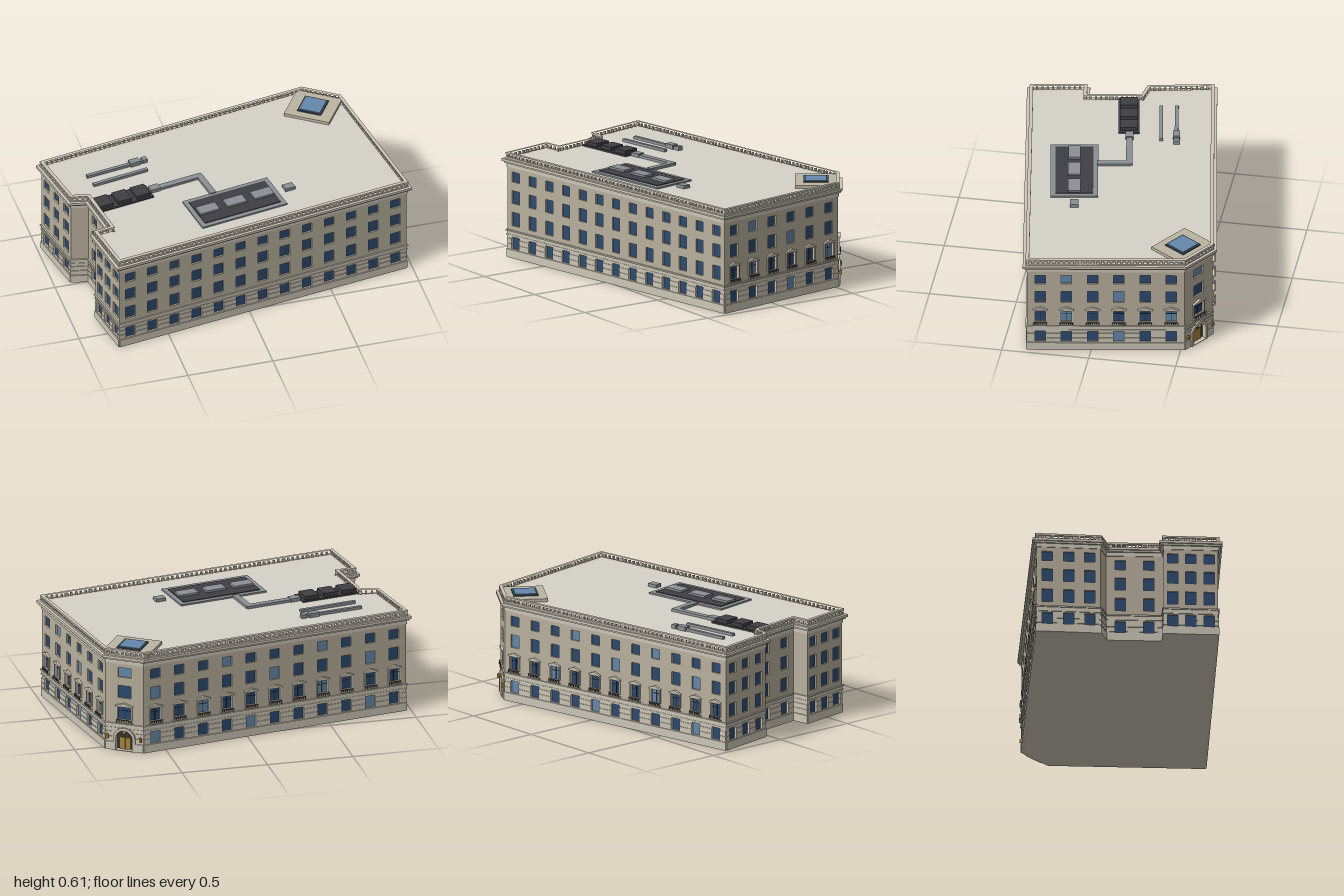
import * as THREE from 'three';
import { mergeGeometries } from 'three/addons/utils/BufferGeometryUtils.js';

const COLORS = {
  groundWall: 0xcbc4b4, upperWall: 0xb9b09d, trim: 0xcdc7b9, windowSurround: 0xc6bfaf, balcony: 0x55534e,
  darkGlass: 0x2c4a70, lightGlass: 0x6488ab, mullion: 0x1d2b3d, roof: 0xd6d2ca, roofDark: 0x3f3e44,
  roofVent: 0x8b9196, skylightBase: 0xbcb5a3, skylightFrame: 0x3d4a55, skylightGlass: 0x6488ab,
  doorRecess: 0x3a3630, brass: 0xa8843a,
};

// Cornice outline in plan [x, z], with windows per wall to the next corner.
const WALLS = [
  { p: [-1.0, -0.4], n: 11, ornate: true },
  { p: [0.64, -0.675], n: 1, ornate: true, door: true },
  { p: [0.845, -0.535], n: 6, ornate: true },
  { p: [0.995, 0.38], n: 13 },
  { p: [-0.82, 0.663], n: 3 },
  { p: [-0.882, 0.31], n: 0 },
  { p: [-0.78, 0.294], n: 2 },
  { p: [-0.823, 0.016], n: 0 },
  { p: [-0.92, -0.003], n: 3 },
];
const WALL_INSET = 0.024;
const TILT = 0.165;
const FLOORS = [[0.188, 0.267], [0.318, 0.393], [0.444, 0.502]];

function normal(a, b) {
  const dx = b[0] - a[0], dz = b[1] - a[1], l = Math.hypot(dx, dz);
  return [dz / l, -dx / l];
}

// Mitred inset of the plan
function inset(d) {
  const pts = WALLS.map(w => w.p), c = pts.length;
  return pts.map((p, i) => {
    const a = normal(pts[(i + c - 1) % c], p), b = normal(p, pts[(i + 1) % c]);
    const k = -d / (1 + a[0] * b[0] + a[1] * b[1]);
    return [p[0] + (a[0] + b[0]) * k, p[1] + (a[1] + b[1]) * k];
  });
}

const toVectors = pts => pts.map(([x, z]) => new THREE.Vector2(x, -z));
const extrude = (shape, depth) =>
  new THREE.ExtrudeGeometry(shape, { depth, bevelEnabled: false, curveSegments: 10 });

// Horizontal layer of the plan, optionally hollow
function layer(y0, y1, outer, inner) {
  const shape = new THREE.Shape(toVectors(inset(outer)));
  if (inner !== undefined) shape.holes.push(new THREE.Path(toVectors(inset(inner))));
  return extrude(shape, y1 - y0).rotateX(-Math.PI / 2).translate(0, y0, 0);
}

function box(w, h, d, x, y, z) {
  return new THREE.BoxGeometry(w, h, d).translate(x, y, z);
}

function rect(Type, x0, x1, y0, y1) {
  return new Type([[x0, y0], [x1, y0], [x1, y1], [x0, y1]].map(p => new THREE.Vector2(...p)));
}

function arch(Type, x, halfWidth, y0, spring) {
  const s = new Type();
  s.moveTo(x - halfWidth, y0);
  s.lineTo(x + halfWidth, y0);
  s.lineTo(x + halfWidth, spring);
  s.absarc(x, spring, halfWidth, 0, Math.PI, false);
  s.lineTo(x - halfWidth, y0);
  return s;
}

export function createModel() {
  const parts = {};
  const add = (name, geo, matrix) => {
    const g = geo.index ? geo.toNonIndexed() : geo;
    if (matrix) g.applyMatrix4(matrix);
    (parts[name] ??= []).push(g);
  };

  // Facades: each is drawn facing +z, then turned onto its wall
  const corners = inset(WALL_INSET);
  WALLS.forEach((wall, wi) => {
    const a = corners[wi], b = corners[(wi + 1) % corners.length];
    const nrm = normal(a, b), L = Math.hypot(b[0] - a[0], b[1] - a[1]);
    const M = new THREE.Matrix4().makeRotationY(Math.atan2(nrm[0], nrm[1])).setPosition(b[0], 0, b[1]);
    const put = (name, geo) => add(name, geo, M);
    const w = wall.door ? 0.078 : 0.06, T = 0.02;
    const ground = rect(THREE.Shape, 0, L, 0, 0.14);
    const upper = rect(THREE.Shape, 0, L, 0.15, 0.54);
    const piers = [0];

    for (let i = 0; i < wall.n; i++) {
      const x = L * (i + 0.5) / wall.n;
      const glass = f => wall.ornate && (i * 7 + f * 5 + wi * 3) % 9 < 2 ? 'lightGlass' : 'darkGlass';
      const pane = (y0, y1, f) => put(glass(f), box(w + 0.004, y1 - y0 + 0.004, 0.004, x, (y0 + y1) / 2, -0.012));

      FLOORS.forEach(([y0, y1], f) => {
        upper.holes.push(rect(THREE.Path, x - w / 2, x + w / 2, y0, y1));
        pane(y0, y1, f + 1);
      });

      // Main-floor window dressing: mullions, jambs, pediment, balcony
      if (wall.ornate) {
        const [y0, y1] = FLOORS[0], h = y1 - y0;
        put('mullion', box(0.003, h, 0.004, x, y0 + h / 2, -0.009));
        put('mullion', box(w, 0.003, 0.004, x, y0 + h * 0.65, -0.009));
        for (const s of [-1, 1]) put('windowSurround', box(0.008, h, 0.008, x + s * (w / 2 + 0.004), y0 + h / 2, 0.003));
        put('windowSurround', box(w + 0.022, 0.007, 0.014, x, y1 + 0.0035, 0.006));
        const gable = new THREE.Shape([[-w / 2 - 0.013, 0], [w / 2 + 0.013, 0], [0, 0.016]].map(p => new THREE.Vector2(...p)));
        put('windowSurround', extrude(gable, 0.014).translate(x, y1 + 0.007, 0));
        put('windowSurround', box(w + 0.02, 0.006, 0.018, x, 0.172, 0.008));
        put('balcony', box(w + 0.016, 0.004, 0.005, x, 0.189, 0.014));
        for (let k = 0; k < 7; k++) put('balcony', box(0.004, 0.014, 0.004, x + (k - 3) * (w + 0.01) / 6, 0.181, 0.014));
      }

      if (wall.door) {
        // Arched entrance with brass doors, lantern and side lamps
        ground.holes.push(arch(THREE.Path, x, 0.05, 0.004, 0.072));
        const frame = arch(THREE.Shape, x, 0.066, 0, 0.074);
        frame.holes.push(arch(THREE.Path, x, 0.05, 0.004, 0.072));
        put('windowSurround', extrude(frame, 0.012));
        put('doorRecess', box(0.104, 0.124, 0.004, x, 0.064, -0.02));
        for (const s of [-1, 1]) {
          put('brass', box(0.03, 0.072, 0.006, x + s * 0.016, 0.038, -0.015));
          put('brass', box(0.014, 0.022, 0.014, x + s * 0.1, 0.08, 0.014));
          put('brass', box(0.005, 0.005, 0.016, x + s * 0.1, 0.08, 0.006));
          put('brass', new THREE.ConeGeometry(0.009, 0.01, 6).translate(x + s * 0.1, 0.096, 0.014));
        }
        put('brass', new THREE.SphereGeometry(0.011, 10, 8).translate(x, 0.112, 0.008));
        piers.push(x - 0.066, x + 0.066);
      } else {
        ground.holes.push(rect(THREE.Path, x - w / 2, x + w / 2, 0.052, 0.122));
        pane(0.052, 0.122, 0);
        piers.push(x - w / 2, x + w / 2);
      }
    }
    piers.push(L);
    put('groundWall', extrude(ground, T).translate(0, 0, -T));
    put('upperWall', extrude(upper, T).translate(0, 0, -T));

    // Stone courses on the piers between openings
    for (let k = 0; k < piers.length; k += 2) {
      const pw = piers[k + 1] - piers[k], px = (piers[k] + piers[k + 1]) / 2;
      for (const y of [0.068, 0.098]) put('groundWall', box(pw, 0.025, 0.006, px, y, 0.001));
      if (wall.door) put('trim', box(pw, 0.048, 0.01, px, 0.024, 0.001));
    }
    if (!wall.door) put('trim', box(L, 0.048, 0.01, L / 2, 0.024, 0.001));

    // Parapet balusters
    const pts = inset(0.026), p = pts[wi], q = pts[(wi + 1) % pts.length];
    const count = Math.max(2, Math.round(Math.hypot(q[0] - p[0], q[1] - p[1]) / 0.03));
    for (let k = 0; k < count; k++) {
      const t = k / count, wide = k % 5 === 0 ? 0.02 : 0.011;
      const m = new THREE.Matrix4().makeRotationY(Math.atan2(nrm[0], nrm[1]))
        .setPosition(p[0] + (q[0] - p[0]) * t, 0.591, p[1] + (q[1] - p[1]) * t);
      add('trim', new THREE.BoxGeometry(wide, 0.018, 0.011), m);
    }
  });

  // Floor slab, belt course, frieze, cornice and parapet rails
  add('trim', layer(0, 0.004, WALL_INSET));
  add('trim', layer(0.128, 0.136, 0.019));
  add('groundWall', layer(0.136, 0.154, 0.022));
  add('trim', layer(0.154, 0.162, 0.016));
  add('trim', layer(0.527, 0.55, 0.02));
  add('trim', layer(0.55, 0.56, 0.009));
  add('trim', layer(0.56, 0.575, 0));
  add('trim', layer(0.575, 0.584, 0.016, 0.036));
  add('trim', layer(0.599, 0.61, 0.016, 0.036));
  add('roof', layer(0.575, 0.577, 0.036));

  // Rooftop boxes: plan centre, size, height range and turn
  const R = 0.577;
  const roofBox = (name, x, z, w, d, top, turn = TILT, bottom = R) => add(name,
    new THREE.BoxGeometry(w, top - bottom, d),
    new THREE.Matrix4().makeRotationY(turn).setPosition(x, (top + bottom) / 2, z));
  const duct = (x0, z0, x1, z1, width, top) => roofBox('roofVent', (x0 + x1) / 2, (z0 + z1) / 2,
    Math.hypot(x1 - x0, z1 - z0), width, top, Math.atan2(z0 - z1, x1 - x0));
  const along = (x, z, t) => [x + Math.cos(TILT) * t, z - Math.sin(TILT) * t];

  // Large plant deck with three vents
  roofBox('roofVent', -0.013, 0.254, 0.53, 0.27, 0.586);
  roofBox('roofDark', -0.013, 0.254, 0.475, 0.215, 0.59);
  for (const t of [-0.17, 0, 0.17]) roofBox('roofVent', ...along(-0.013, 0.254, t), 0.12, 0.07, 0.602);

  // Row of three dark cooling units
  roofBox('roofDark', -0.62, 0.043, 0.35, 0.12, 0.586);
  for (const t of [-0.115, 0, 0.115]) roofBox('roofDark', ...along(-0.62, 0.043, t), 0.085, 0.095, 0.607);

  // Ducts, pipes and small vents
  duct(-0.4, 0.003, -0.125, -0.043, 0.036, 0.592);
  duct(-0.14, -0.05, -0.107, 0.14, 0.036, 0.592);
  duct(-0.755, -0.21, -0.39, -0.267, 0.02, 0.593);
  duct(-0.74, -0.123, -0.405, -0.18, 0.02, 0.593);
  roofBox('roofVent', -0.417, 0.005, 0.06, 0.046, 0.598);
  roofBox('roofVent', -0.46, -0.258, 0.06, 0.04, 0.602);
  roofBox('roofVent', -0.4, -0.267, 0.03, 0.032, 0.6);
  roofBox('roofVent', 0.32, 0.198, 0.06, 0.046, 0.596);

  // Skylight block behind the corner entrance
  const turn = -0.6;
  roofBox('skylightBase', 0.655, -0.483, 0.27, 0.235, 0.595, turn);
  roofBox('skylightFrame', 0.655, -0.483, 0.142, 0.142, 0.602, turn);
  roofBox('skylightGlass', 0.655, -0.483, 0.122, 0.122, 0.606, turn);

  const model = new THREE.Group();
  model.name = 'cornerBuilding';
  for (const [name, list] of Object.entries(parts)) {
    const mesh = new THREE.Mesh(mergeGeometries(list), new THREE.MeshStandardMaterial({ color: COLORS[name] }));
    mesh.name = name;
    model.add(mesh);
  }
  return model;
}
